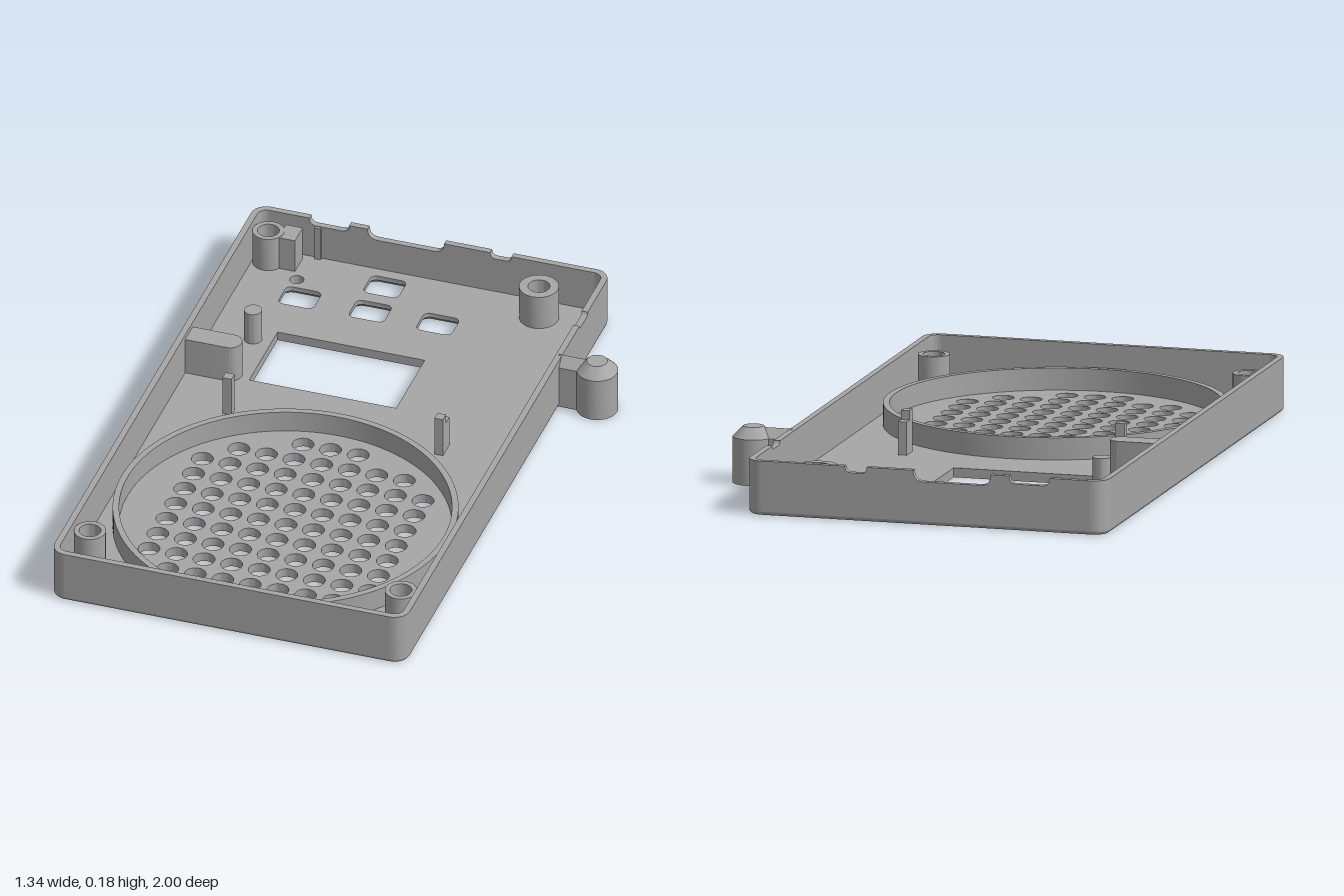
import * as THREE from 'three';
import { toCreasedNormals } from 'three/addons/utils/BufferGeometryUtils.js';

const X0 = -0.67, X1 = 0.49, Z0 = -1, Z1 = 1;   // case footprint
const TOP = 0.172, T = 0.02, R = 0.05;          // rim height, wall thickness, corner radius
const SKIN = 0.015, FLOOR = 0.03, EDGE = 0.012; // outer skin, floor top, rounded bottom edge

export function createModel() {
  const model = new THREE.Group();
  const grey = new THREE.MeshStandardMaterial({ color: 0xa6a6a6, side: THREE.DoubleSide });
  grey.name = 'grey plastic';

  const add = (name, geo, x = 0, y = 0, z = 0) => {
    const mesh = new THREE.Mesh(geo, grey);
    mesh.name = name;
    mesh.position.set(x, y, z);
    model.add(mesh);
    return mesh;
  };
  const extrude = (shape, depth) => toCreasedNormals(
    new THREE.ExtrudeGeometry(shape, { depth, bevelEnabled: false, curveSegments: 12 }), 0.6);
  // Plan shape (x, z) extruded from y0 up to y1
  const slab = (name, shape, y0, y1) =>
    add(name, extrude(shape, y1 - y0).rotateX(Math.PI / 2), 0, y1, 0);
  const shapeOf = (pts) => new THREE.Shape(pts.map(([x, z]) => new THREE.Vector2(x, z)));
  const circle = (x, z, r, Type = THREE.Path) => {
    const p = new Type();
    p.absarc(x, z, r, 0, Math.PI * 2);
    return p;
  };

  // Rounded rectangle as a loop of points, corner by corner from (+x, +z)
  const SEG = 8;
  const loop = (x0, x1, z0, z1, r) => {
    const pts = [];
    [[x1 - r, z1 - r], [x0 + r, z1 - r], [x0 + r, z0 + r], [x1 - r, z0 + r]].forEach(([cx, cz], k) => {
      for (let i = 0; i <= SEG; i++) {
        const a = (k + i / SEG) * Math.PI / 2;
        pts.push([cx + r * Math.cos(a), cz + r * Math.sin(a)]);
      }
    });
    return pts;
  };
  const outline = (inset) => loop(X0 + inset, X1 - inset, Z0 + inset, Z1 - inset, R - inset);
  // Skin through loops of equal point count, each at its own height
  const loft = (name, loops, heights, outward = true) => {
    const n = loops[0].length, pos = [], idx = [];
    loops.forEach((l, j) => l.forEach(([x, z]) => pos.push(x, heights[j], z)));
    for (let j = 0; j < loops.length - 1; j++) for (let i = 0; i < n; i++) {
      const a = j * n + i, b = j * n + (i + 1) % n, c = a + n, d = b + n;
      if (outward) idx.push(a, c, b, b, c, d); else idx.push(a, b, c, b, d, c);
    }
    const g = new THREE.BufferGeometry();
    g.setAttribute('position', new THREE.Float32BufferAttribute(pos, 3));
    g.setIndex(idx);
    g.computeVertexNormals();
    return add(name, toCreasedNormals(g, 0.6));
  };

  // Openings in the floor
  const buttons = [[-0.215, -0.895], [-0.445, -0.755], [-0.215, -0.755], [0.005, -0.755]];
  const buttonLoop = ([x, z], grow) =>
    loop(x - 0.058 - grow, x + 0.058 + grow, z - 0.048 - grow, z + 0.048 + grow, 0.02 + grow);
  const windowLoop = [[-0.45, -0.555], [0.03, -0.555], [0.03, -0.28], [-0.45, -0.28]];
  const ledHole = () => circle(-0.485, -0.845, 0.022);

  // Grille: full grid on the outside, only the round middle cut through
  const blind = [], through = [];
  const reach = [1, 3, 4, 4, 4, 4, 4, 4, 4, 3, 1];
  for (let row = -1; row <= 10; row++) for (let col = -5; col <= 5; col++) {
    const at = [-0.09 + col * 0.09, row * 0.0862];
    blind.push(circle(...at, 0.034));
    if (row >= 0 && Math.abs(col) <= reach[row]) through.push(circle(...at, 0.034));
  }

  // Outer skin in two panels with a groove between them
  const rim = outline(EDGE), half = rim.length / 2, xa = X0 + EDGE, xb = X1 - EDGE;
  const grilleSkin = shapeOf([...rim.slice(0, half), [xa, -0.212], [xb, -0.212]]);
  grilleSkin.holes.push(...blind);
  slab('grillePanel', grilleSkin, 0, SKIN);
  const controlSkin = shapeOf([[xa, -0.23], ...rim.slice(half), [xb, -0.23]]);
  controlSkin.holes.push(...buttons.map((b) => shapeOf(buttonLoop(b, 0.014))), shapeOf(windowLoop), ledHole());
  slab('controlPanel', controlSkin, 0, SKIN);

  // Inner floor
  const floor = shapeOf(outline(0.008));
  floor.holes.push(...through, ...buttons.map((b) => shapeOf(buttonLoop(b, 0))), shapeOf(windowLoop), ledHole());
  slab('floor', floor, SKIN, FLOOR);

  // Flared button openings
  buttons.forEach((b) => loft('buttonFlare', [buttonLoop(b, 0.014), buttonLoop(b, 0)], [0, SKIN], false));

  // Rounded bottom edge
  const steps = [0, 1, 2, 3, 4].map((i) => i / 4 * Math.PI / 2);
  loft('bottomEdge', steps.map((a) => outline(EDGE * (1 - Math.sin(a)))), steps.map((a) => EDGE * (1 - Math.cos(a))));

  // Straight walls, with notches [from, to, depth] in the rim
  const wall = (s0, s1, notches = []) => {
    const s = new THREE.Shape();
    s.moveTo(s0, EDGE);
    s.lineTo(s1, EDGE);
    s.lineTo(s1, TOP);
    notches.forEach(([a, b, d]) => {
      const w = Math.min(d, (b - a) / 2);
      s.lineTo(b, TOP);
      s.quadraticCurveTo(b, TOP - d, b - w, TOP - d);
      s.lineTo(a + w, TOP - d);
      s.quadraticCurveTo(a, TOP - d, a, TOP);
    });
    s.lineTo(s0, TOP);
    return extrude(s, T);
  };
  add('frontWall', wall(X0 + R, X1 - R), 0, 0, Z1 - T);
  add('backWall', wall(X0 + R, X1 - R, [[0.1, 0.17, 0.02], [-0.3, -0.05, 0.035], [-0.49, -0.36, 0.025]]), 0, 0, Z0);
  add('leftWall', wall(Z0 + R, Z1 - R, [[0.69, 0.77, 0.012]]).rotateY(Math.PI / 2), X1 - T, 0, 0);
  add('rightWall', wall(Z0 + R, Z1 - R).rotateY(Math.PI / 2), X0, 0, 0);

  // Rounded wall corners
  [[X1 - R, Z1 - R], [X0 + R, Z1 - R], [X0 + R, Z0 + R], [X1 - R, Z0 + R]].forEach(([x, z], k) => {
    const a = k * Math.PI / 2, s = new THREE.Shape();
    s.absarc(x, z, R, a, a + Math.PI / 2, false);
    s.absarc(x, z, R - T, a + Math.PI / 2, a, true);
    slab('wallCorner', s, EDGE, TOP);
  });

  // Ring around the speaker
  const ring = circle(-0.09, 0.435, 0.535, THREE.Shape);
  ring.holes.push(circle(-0.09, 0.435, 0.515));
  const ringGeo = new THREE.ExtrudeGeometry(ring, { depth: 0.1 - FLOOR, bevelEnabled: false, curveSegments: 64 });
  add('speakerRing', toCreasedNormals(ringGeo, 0.6).rotateX(Math.PI / 2), 0, 0.1, 0);

  // Screw bosses
  [[-0.6, -0.91, 0.05], [0.29, -0.89, 0.062], [-0.6, 0.815, 0.05], [0.415, 0.815, 0.05]].forEach(([x, z, r]) => {
    const s = circle(x, z, r, THREE.Shape);
    s.holes.push(circle(x, z, 0.034));
    slab('screwBoss', s, FLOOR, 0.147);
  });

  // Internal posts and supports
  const box = (name, x0, x1, z0, z1, y) => add(name, new THREE.BoxGeometry(x1 - x0, y - FLOOR, z1 - z0),
    (x0 + x1) / 2, (y + FLOOR) / 2, (z0 + z1) / 2);
  box('bossBlock', -0.56, -0.505, -0.96, -0.885, 0.145);
  box('rightPost', -0.47, -0.44, -0.11, -0.08, 0.165);
  box('leftPost', 0.222, 0.25, -0.11, -0.08, 0.165);
  box('leftPostStep', 0.222, 0.25, -0.142, -0.11, 0.135);
  box('wallRib', -0.47, -0.45, -0.982, -0.97, 0.145);
  slab('roundPost', circle(-0.51, -0.495, 0.028, THREE.Shape), FLOOR, 0.14);
  const tongue = new THREE.Shape();
  tongue.moveTo(X0 + T, -0.327);
  tongue.lineTo(-0.515, -0.327);
  tongue.absarc(-0.515, -0.29, 0.037, -Math.PI / 2, Math.PI / 2, false);
  tongue.lineTo(X0 + T, -0.253);
  slab('wallSupport', tongue, FLOOR, 0.155);

  // Side post with a cone top, joined to the wall by a ridged web
  const post = [[0, 0], [0.065, 0], [0.065, 0.145], [0.032, 0.178], [0, 0.178]].map(([r, y]) => new THREE.Vector2(r, y));
  add('sidePost', toCreasedNormals(new THREE.LatheGeometry(post, 40), 0.5), 0.605, 0, -0.52);
  const web = shapeOf([[-0.03, 0], [0.03, 0], [0.03, 0.145], [0, 0.175], [-0.03, 0.145]]);
  add('sidePostWeb', extrude(web, 0.1).rotateY(Math.PI / 2), 0.48, 0, -0.52);

  return model;
}
